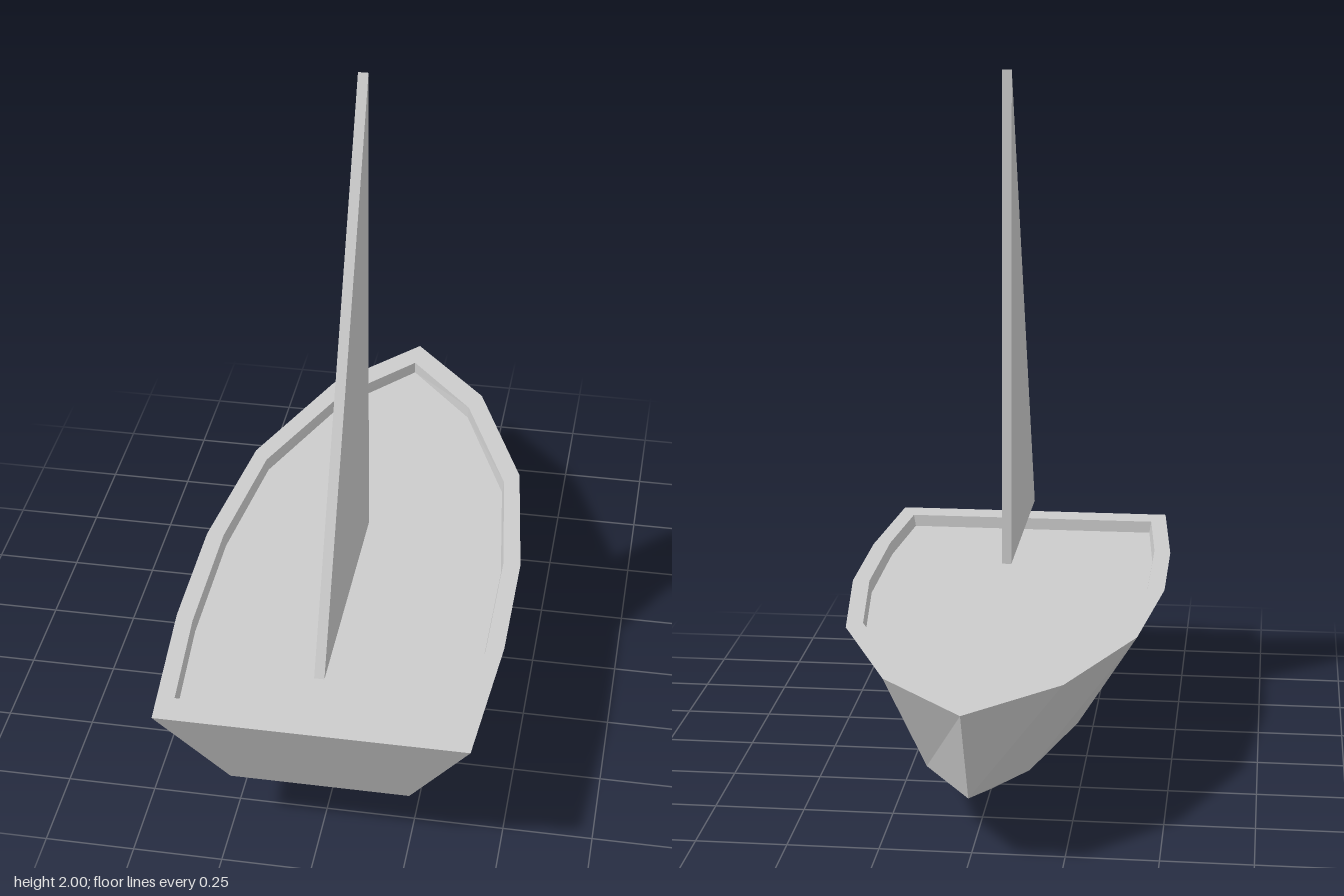
import * as THREE from 'three';

const grey = () => new THREE.MeshStandardMaterial({ color: 0xcccccc, flatShading: true });

// Full ring from half-width stations [x, z], listed stern to bow:
// along the left side to the bow, then back along the right side.
function ring(half, y) {
  const left = half.map(([x, z]) => [x, y, z]);
  const right = half.slice(0, -1).reverse().map(([x, z]) => [-x, y, z]);
  return [...left, ...right];
}

// Strip of faces between two rings, skipping collapsed triangles.
function band(a, b) {
  const out = [];
  const same = (p, q) => p.every((v, i) => Math.abs(v - q[i]) < 1e-6);
  const tri = (p, q, r) => {
    if (!same(p, q) && !same(q, r) && !same(p, r)) out.push(...p, ...q, ...r);
  };
  a.forEach((p, i) => {
    const j = (i + 1) % a.length;
    tri(p, a[j], b[j]);
    tri(p, b[j], b[i]);
  });
  return out;
}

function mesh(name, positions) {
  const geometry = new THREE.BufferGeometry();
  geometry.setAttribute('position', new THREE.Float32BufferAttribute(positions, 3));
  geometry.computeVertexNormals();
  const m = new THREE.Mesh(geometry, grey());
  m.name = name;
  return m;
}

export function createModel() {
  const model = new THREE.Group();
  model.name = 'sailboat';

  const rim = ring([[0.43, 0.985], [0.465, 0.54], [0.465, 0.15], [0.41, -0.3], [0.24, -0.72], [0, -0.985]], 0.475);
  const chine = ring([[0.25, 0.86], [0.27, 0.5], [0.27, 0.12], [0.24, -0.22], [0.14, -0.6], [0, -0.82]], 0.187);
  const keel = ring([[0, 0.56], [0, 0.56], [0, 0.12], [0, -0.29], [0, -0.29], [0, -0.29]], 0.005);
  const inner = [[0.388, 0.895], [0.415, 0.56], [0.415, 0.15], [0.368, -0.255], [0.208, -0.645], [0, -0.88]];
  const coaming = ring(inner, 0.475);
  const floor = ring(inner.map(([x, z]) => [x * 0.985, z]), 0.438);

  // Hull: V-shaped bottom, flared sides, flat rim and inner wall
  model.add(mesh('hullBottom', band(keel, chine)));
  model.add(mesh('hullSides', band(chine, rim)));
  model.add(mesh('rim', band(rim, coaming)));
  model.add(mesh('innerWall', band(coaming, floor)));

  // Recessed deck
  model.add(mesh('deck', band(floor, floor.map(() => [0, 0.438, 0.1]))));

  // Thin triangular sail; shape x becomes +z after turning
  const outline = new THREE.Shape([
    new THREE.Vector2(-0.84, 0.55), new THREE.Vector2(-0.12, 0.55), new THREE.Vector2(-0.12, 2),
  ]);
  const sailGeometry = new THREE.ExtrudeGeometry(outline, { depth: 0.028, bevelEnabled: false });
  sailGeometry.translate(0, 0, -0.014);
  sailGeometry.rotateY(Math.PI / 2);
  const sail = new THREE.Mesh(sailGeometry, grey());
  sail.name = 'sail';
  model.add(sail);

  return model;
}
